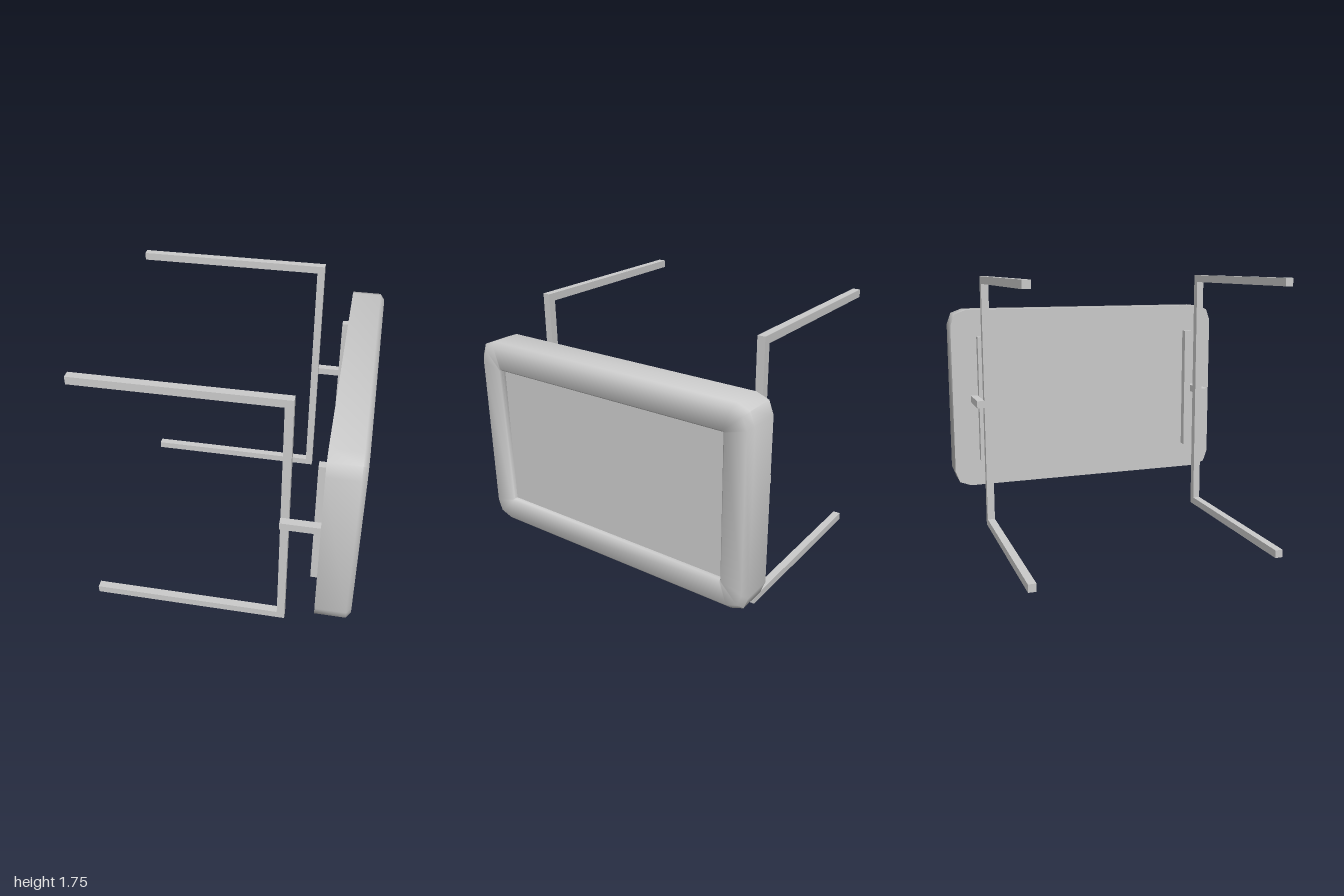
import * as THREE from 'three';
import { toCreasedNormals } from 'three/addons/utils/BufferGeometryUtils.js';

const material = new THREE.MeshStandardMaterial({ color: 0xcccccc });
const MID_Y = 0.875;

function add(parent, name, geometry) {
  const mesh = new THREE.Mesh(geometry, material);
  mesh.name = name;
  parent.add(mesh);
  return mesh;
}

// Box given by its minimum and maximum corners
function bar(parent, name, min, max) {
  const size = max.map((v, i) => v - min[i]);
  add(parent, name, new THREE.BoxGeometry(...size))
    .position.set(...min.map((v, i) => v + size[i] / 2));
}

// Rectangle across x with three-point rounded corners
function ring(x, hz, hy, r) {
  const corner = [[0, r], [0.27 * r, 0.27 * r], [r, 0]];
  const points = [];
  for (const [sz, sy] of [[-1, 1], [1, 1], [1, -1], [-1, -1]]) {
    const cut = sz * sy < 0 ? corner : [...corner].reverse();
    for (const [dz, dy] of cut) points.push([x, MID_Y + sy * (hy - dy), sz * (hz - dz)]);
  }
  return points;
}

// Skin through successive rings, closed at both ends
function loft(rings) {
  const n = rings[0].length, last = (rings.length - 1) * n;
  const index = [];
  for (let k = 0; k < rings.length - 1; k++) {
    for (let i = 0; i < n; i++) {
      const a = k * n + i, b = k * n + (i + 1) % n;
      index.push(a, b, b + n, a, b + n, a + n);
    }
  }
  for (let i = 1; i < n - 1; i++) {
    index.push(0, i + 1, i);
    index.push(last, last + i, last + i + 1);
  }
  const geometry = new THREE.BufferGeometry();
  geometry.setAttribute('position', new THREE.Float32BufferAttribute(rings.flat(2), 3));
  geometry.setIndex(index);
  return toCreasedNormals(geometry, 0.95);
}

export function createModel() {
  const model = new THREE.Group();
  model.name = 'mountedDisplay';

  // Housing with bevelled front rim and recessed screen
  add(model, 'displayHousing', loft([
    ring(0.62, 1, 0.635, 0.11),
    ring(0.812, 1, 0.635, 0.11),
    ring(0.842, 0.97, 0.605, 0.1),
    ring(0.842, 0.835, 0.472, 0.012),
    ring(0.828, 0.822, 0.459, 0.003),
    ring(0.805, 0.822, 0.459, 0.003),
  ]));

  // C-shaped support outline, open towards -x
  const outline = new THREE.Shape([
    [-0.845, 0], [0.42, 0], [0.42, 1.745], [-0.845, 1.745],
    [-0.845, 1.695], [0.37, 1.695], [0.37, 0.05], [-0.845, 0.05],
  ].map(([x, y]) => new THREE.Vector2(x, y)));
  const supportGeometry = new THREE.ExtrudeGeometry(outline, { depth: 0.05, bevelEnabled: false });

  // One support, connector and mounting rail at each end
  for (const side of [1, -1]) {
    const mount = new THREE.Group();
    mount.name = side > 0 ? 'frontMount' : 'rearMount';
    const zSpan = (a, b) => (side > 0 ? [a, b] : [-b, -a]);
    const [z0, z1] = zSpan(0.772, 0.822);
    const [c0, c1] = zSpan(0.822, 0.872);
    add(mount, 'supportFrame', supportGeometry).position.z = z0;
    bar(mount, 'mountingRail', [0.57, 0.43, z0], [0.62, 1.32, z1]);
    bar(mount, 'connector', [0.37, 0.85, c0], [0.62, 0.9, c1]);
    model.add(mount);
  }
  return model;
}
